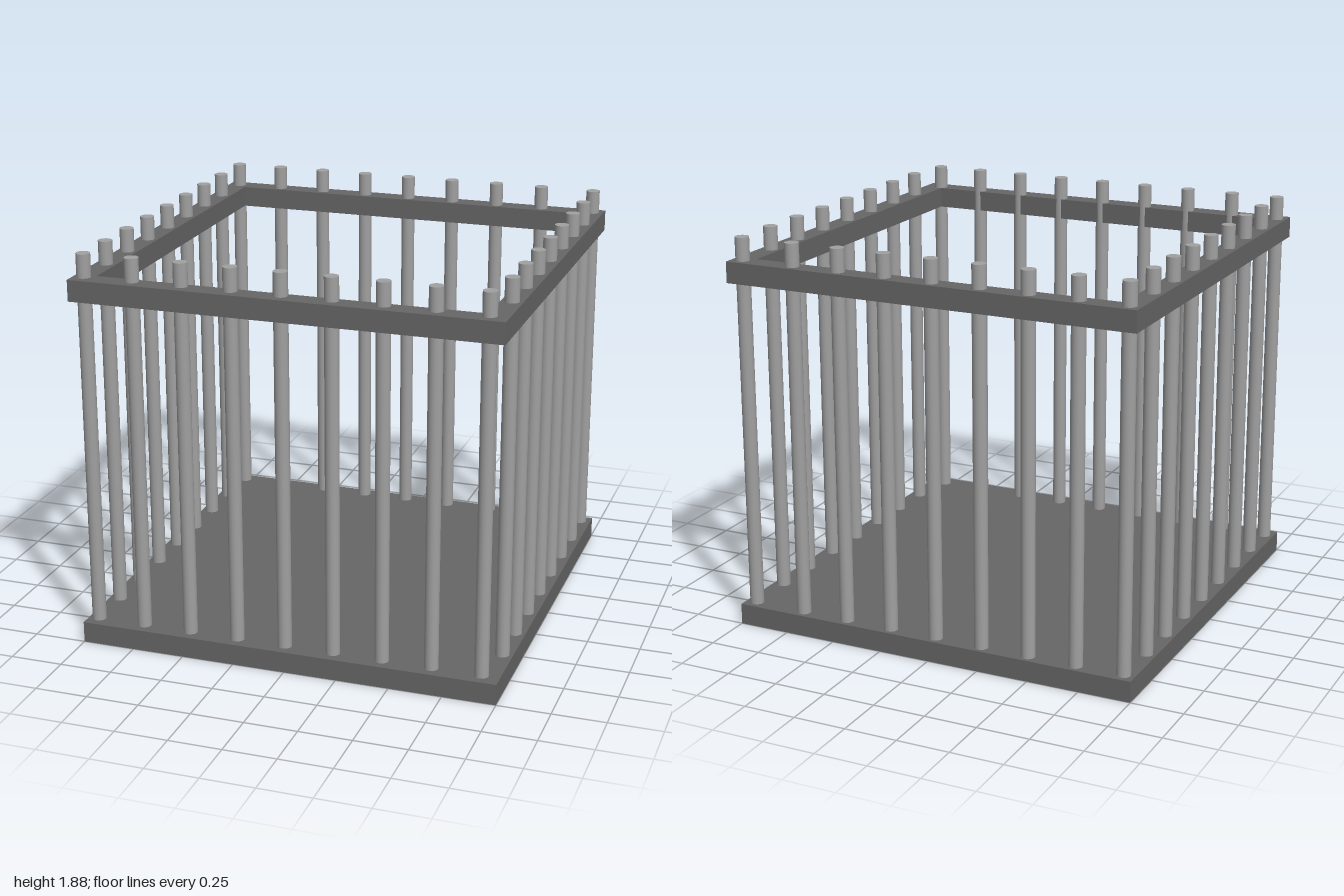
import * as THREE from 'three';

export function createModel() {
  const model = new THREE.Group();
  const frameMaterial = new THREE.MeshStandardMaterial({ color: 0x666666 });
  const barMaterial = new THREE.MeshStandardMaterial({ color: 0xa0a0a0 });

  // Solid floor slab
  const floor = new THREE.Mesh(new THREE.BoxGeometry(2, 0.1, 2), frameMaterial);
  floor.name = 'floor';
  floor.position.y = 0.05;
  model.add(floor);

  // Square top frame with an open middle
  const square = (Type, r) => new Type([
    new THREE.Vector2(-r, -r), new THREE.Vector2(r, -r),
    new THREE.Vector2(r, r), new THREE.Vector2(-r, r),
  ]);
  const outline = square(THREE.Shape, 1);
  outline.holes.push(square(THREE.Path, 0.9));
  const frameGeometry = new THREE.ExtrudeGeometry(outline, { depth: 0.1, bevelEnabled: false });
  frameGeometry.rotateX(-Math.PI / 2);
  const topFrame = new THREE.Mesh(frameGeometry, frameMaterial);
  topFrame.name = 'topFrame';
  topFrame.position.y = 1.67;
  model.add(topFrame);

  // Round bars, running from inside the floor up through the top frame
  const bottom = 0.05, top = 1.88, spacing = 0.233;
  const barGeometry = new THREE.CylinderGeometry(0.033, 0.033, top - bottom, 32);
  const bars = new THREE.Group();
  bars.name = 'bars';
  model.add(bars);
  const addBar = (name, x, z) => {
    const bar = new THREE.Mesh(barGeometry, barMaterial);
    bar.name = name;
    bar.position.set(x, (bottom + top) / 2, z);
    bars.add(bar);
  };

  // Front row includes its corners; the back row leaves them to the corner bars
  for (let i = 0; i < 9; i++) {
    const x = -0.95 + i * spacing;
    addBar('frontBar', x, 0.93);
    if (i > 0 && i < 8) addBar('backBar', x, -0.95);
  }
  for (const side of [-1, 1]) {
    addBar('backCornerBar', side * 0.945, -0.945);
    for (let i = -3; i <= 3; i++) {
      addBar(side > 0 ? 'leftBar' : 'rightBar', side * 0.95, i * spacing);
    }
  }
  return model;
}
